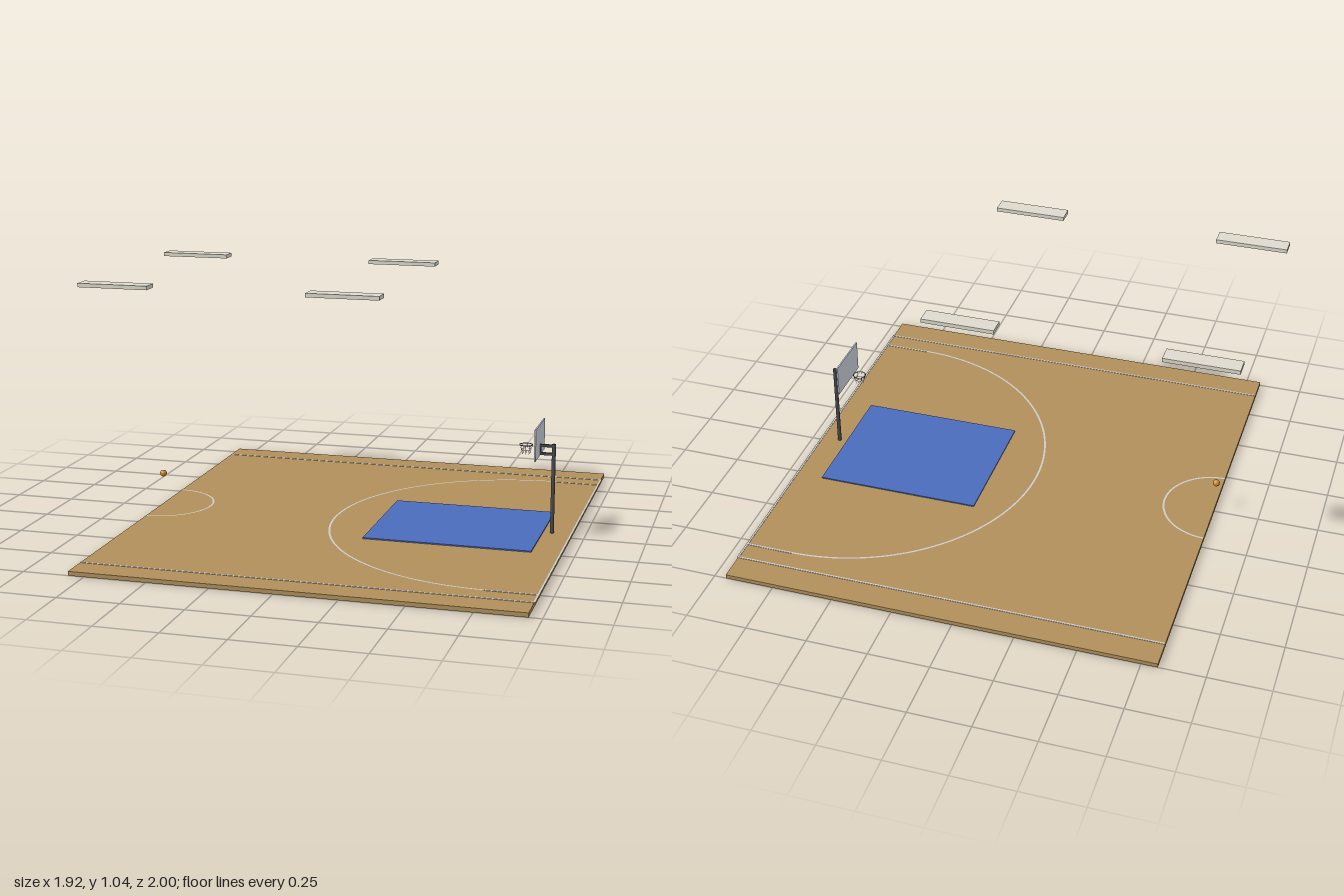
import * as THREE from 'three';

const mat = (color) => new THREE.MeshStandardMaterial({ color });
const wood = mat(0xb08f5a), blue = mat(0x4a6cbc), paint = mat(0xcccccc), steel = mat(0x4a4a4a),
  board = mat(0xced6e2), orange = mat(0xc98a35), lamp = mat(0xdedace);

export function createModel() {
  const root = new THREE.Group();

  function add(name, geometry, material, x = 0, y = 0, z = 0, parent = root) {
    const m = new THREE.Mesh(geometry, material);
    m.name = name;
    m.position.set(x, y, z);
    parent.add(m);
    return m;
  }
  // Box given by its limits on each axis
  function block(name, material, [x0, x1], [y0, y1], [z0, z1], parent = root) {
    return add(name, new THREE.BoxGeometry(x1 - x0, y1 - y0, z1 - z0), material,
      (x0 + x1) / 2, (y0 + y1) / 2, (z0 + z1) / 2, parent);
  }
  // Flat painted arc on the floor
  function paintedArc(name, x, radius, start, sweep) {
    const g = new THREE.RingGeometry(radius - 0.004, radius + 0.004, 64, 1, start, sweep);
    g.rotateX(-Math.PI / 2);
    return add(name, g, paint, x, lineTop, 0);
  }

  // Floor and painted key
  const floorTop = 0.017, lineTop = 0.0185;
  const x0 = -0.815, x1 = 0.95;
  block('floor', wood, [x0, x1], [0, floorTop], [-1, 1]);
  block('key', blue, [0.15, 0.835], [floorTop - 0.002, 0.022], [-0.288, 0.288]);

  // Court lines
  const lineY = [floorTop - 0.001, lineTop];
  for (const s of [-1, 1]) {
    const strip = (z) => [s * z - 0.004, s * z + 0.004];
    block('sideline', paint, [x0, x1 + 0.004], lineY, strip(0.883));
    block('threePointStraight', paint, [0.75, x1], lineY, strip(0.795));
  }
  block('baseline', paint, [x1 - 0.004, x1 + 0.004], lineY, [-0.887, 0.887]);
  paintedArc('threePointArc', 0.755, 0.795, Math.PI / 2, Math.PI);
  paintedArc('centreCircle', x0, 0.213, -Math.PI / 2, Math.PI);

  // Basket stand
  const stand = new THREE.Group();
  stand.name = 'basketStand';
  root.add(stand);
  const poleH = 0.388 - floorTop;
  add('pole', new THREE.CylinderGeometry(0.008, 0.008, poleH, 16), steel, 0.87, floorTop + poleH / 2, 0, stand);
  for (const y of [0.346, 0.38]) {
    block('arm', steel, [0.811, 0.872], [y - 0.005, y + 0.005], [-0.006, 0.006], stand);
  }
  block('mountPlate', steel, [0.813, 0.819], [0.341, 0.385], [-0.006, 0.006], stand);
  block('backboard', board, [0.808, 0.814], [0.338, 0.468], [-0.11, 0.11], stand);

  // Rim and net
  const hoopX = 0.757, hoopY = 0.379, rimR = 0.026;
  const rim = add('rim', new THREE.TorusGeometry(rimR, 0.0018, 8, 32), steel, hoopX, hoopY, 0, stand);
  rim.rotation.x = Math.PI / 2;
  const net = new THREE.Group();
  net.name = 'net';
  net.position.set(hoopX, hoopY, 0);
  stand.add(net);
  const at = (a, r, y) => new THREE.Vector3(Math.cos(a) * r, y, Math.sin(a) * r);
  for (let i = 0; i < 8; i++) {
    const a = i * Math.PI / 4;
    const cord = new THREE.LineCurve3(at(a, rimR, 0), at(a, 0.015, -0.038));
    add('netCord', new THREE.TubeGeometry(cord, 1, 0.0007, 5), paint, 0, 0, 0, net);
  }
  const hem = add('netRing', new THREE.TorusGeometry(0.0205, 0.0007, 5, 24), paint, 0, -0.019, 0, net);
  hem.rotation.x = Math.PI / 2;

  // Ball over the centre spot
  add('ball', new THREE.SphereGeometry(0.0145, 24, 16), orange, x0, 0.148, 0);

  // Ceiling lights: shallow trays open underneath, with a recessed panel
  for (const x of [-0.815, 0.126]) {
    for (const z of [-0.47, 0.47]) {
      const light = new THREE.Group();
      light.name = 'ceilingLight';
      light.position.set(x, 1.025, z);
      root.add(light);
      const L = 0.146, W = 0.035, t = 0.008;
      block('lightPanel', lamp, [-L, L], [0.006, 0.016], [-W, W], light);
      for (const s of [-1, 1]) {
        const long = s * (W - t / 2), short = s * (L - t / 2);
        block('longRim', lamp, [-L, L], [0, 0.006], [long - t / 2, long + t / 2], light);
        block('shortRim', lamp, [short - t / 2, short + t / 2], [0, 0.006], [t - W, W - t], light);
      }
    }
  }
  return root;
}
